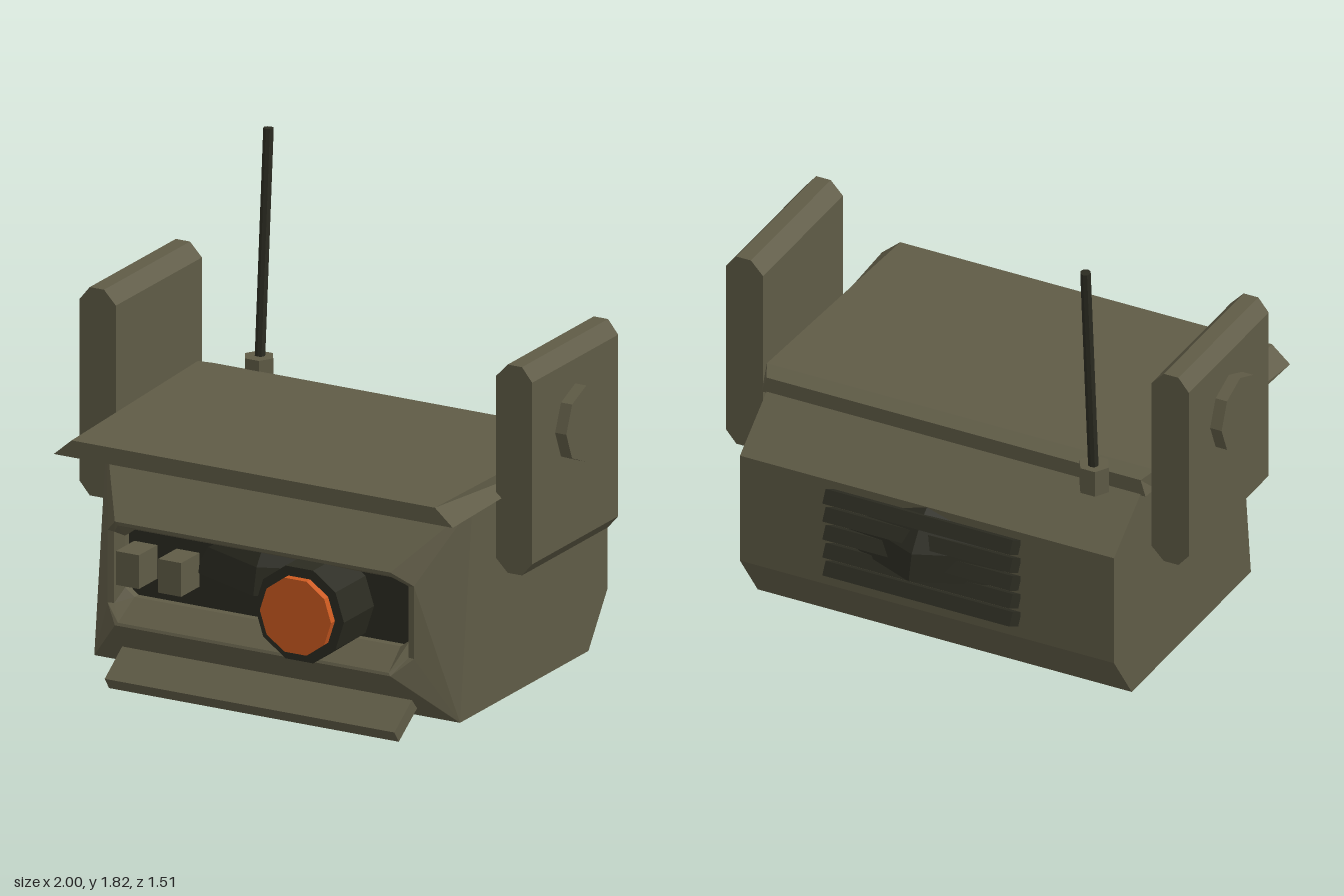
import * as THREE from 'three';

const olive = new THREE.MeshStandardMaterial({ color: 0x5f5b46 });
olive.name = 'olive';
const charcoal = new THREE.MeshStandardMaterial({ color: 0x2b2b21 });
charcoal.name = 'charcoal';
const orange = new THREE.MeshStandardMaterial({ color: 0xcc5a20 });
orange.name = 'orange';

// Faceted normals
function flat(geo) {
  const g = geo.index ? geo.toNonIndexed() : geo;
  g.computeVertexNormals();
  return g;
}

// Skin through closed rings, counter-clockwise seen from +z, ordered back to front
function loft(rings, capBack, capFront) {
  const pos = [];
  const tri = (...pts) => pts.forEach((p) => pos.push(...p));
  for (let i = 0; i < rings.length - 1; i++) {
    const r = rings[i], s = rings[i + 1], n = r.length;
    for (let j = 0; j < n; j++) {
      const k = (j + 1) % n;
      if (r[j] !== r[k]) tri(r[j], r[k], s[k]);
      tri(r[j], s[k], s[j]);
    }
  }
  const cap = (r, flip) => {
    for (let j = 1; j < r.length - 1; j++) {
      if (flip) tri(r[0], r[j + 1], r[j]);
      else tri(r[0], r[j], r[j + 1]);
    }
  };
  if (capBack) cap(rings[0], true);
  if (capFront) cap(rings[rings.length - 1], false);
  const g = new THREE.BufferGeometry();
  g.setAttribute('position', new THREE.Float32BufferAttribute(pos, 3));
  return flat(g);
}

// Extrude an outline and centre it on its depth
function slab(points, depth) {
  const shape = new THREE.Shape(points.map(([x, y]) => new THREE.Vector2(x, y)));
  const g = new THREE.ExtrudeGeometry(shape, { depth, bevelEnabled: false });
  return g.translate(0, 0, -depth / 2);
}

export function createModel() {
  const model = new THREE.Group();
  model.name = 'sensorHead';
  const add = (name, geo, mat, x = 0, y = 0, z = 0, parent = model) => {
    const m = new THREE.Mesh(geo, mat);
    m.name = name;
    m.position.set(x, y, z);
    parent.add(m);
    return m;
  };

  // Main shell, running from the back panel into the front recess
  const box = (x, yb, zb, yt, zt) => {
    const [a, b, c, d] = [[-x, yb, zb], [x, yb, zb], [x, yt, zt], [-x, yt, zt]];
    return [a, b, b, c, c, d, d, a];
  };
  const rim = (x, xc, yb, yt, cut, zLip, zSide) => [
    [-xc, yb, zLip], [xc, yb, zLip], [x, yb + cut, zSide], [x, yt - cut, zSide],
    [xc, yt, zLip], [-xc, yt, zLip], [-x, yt - cut, zSide], [-x, yb + cut, zSide],
  ];
  add('bodyShell', loft([
    box(0.77, 0.25, -0.61, 0.70, -0.61),
    box(0.77, 0.05, -0.47, 0.86, -0.40),
    box(0.77, 0.05, 0.47, 0.86, 0.38),
    rim(0.645, 0.58, 0.25, 0.65, 0.06, 0.65, 0.59),
    rim(0.62, 0.57, 0.26, 0.635, 0.05, 0.645, 0.585),
    rim(0.60, 0.56, 0.33, 0.59, 0.03, 0.54, 0.54),
    rim(0.60, 0.56, 0.33, 0.59, 0.03, 0.49, 0.49),
  ], true, false), olive);
  add('recessFloor', new THREE.BoxGeometry(1.24, 0.30, 0.03), charcoal, 0, 0.46, 0.495);

  // Inner dome, showing in the recess and through the back vent
  const dome = new THREE.SphereGeometry(1, 8, 6, 0, Math.PI * 2, 0, Math.PI / 2);
  dome.scale(0.70, 0.40, 0.70);
  add('innerDome', flat(dome), charcoal, 0, 0.46, -0.055);
  const base = new THREE.CircleGeometry(0.70, 8).rotateX(Math.PI / 2);
  add('innerDomeBase', base, charcoal, 0, 0.46, -0.055);

  // Roof visor, wider at its lower front edge
  const plate = (xb, xt, yb, yt, z) => [[-xb, yb, z], [xb, yb, z], [xt, yt, z], [-xt, yt, z]];
  add('roofVisor', loft([
    plate(0.79, 0.77, 0.855, 0.92, -0.40),
    plate(0.80, 0.80, 0.86, 0.94, -0.34),
    plate(0.84, 0.765, 0.865, 0.93, 0.645),
  ], true, true), olive);

  // Lower chin flap
  const flap = slab([[-0.672, 0.045], [-0.525, 0.145], [-0.49, 0.10], [-0.64, 0]], 1.22);
  add('chinFlap', flap.rotateY(Math.PI / 2), olive);

  // Lens with ten-sided housing
  const drum = (r, h, sides) => flat(new THREE.CylinderGeometry(r, r, h, sides, 1, false, Math.PI / 2));
  add('lensHousing', drum(0.188, 0.23, 10).rotateX(Math.PI / 2), charcoal, 0.243, 0.455, 0.615);
  add('lens', drum(0.15, 0.03, 10).rotateX(Math.PI / 2), orange, 0.243, 0.455, 0.744);

  // Small square sensors
  for (const x of [-0.53, -0.352]) {
    add('squareSensor', new THREE.BoxGeometry(0.097, 0.13, 0.14), olive, x, 0.47, 0.575);
  }

  // Side ear plates with discs and short axles
  const ear = [[0.85, 0.58], [0.91, 0.58], [0.953, 0.63], [0.953, 1.33],
    [0.91, 1.383], [0.85, 1.383], [0.80, 1.33], [0.80, 0.63]];
  for (const side of [1, -1]) {
    const group = new THREE.Group();
    group.name = side > 0 ? 'leftEar' : 'rightEar';
    add('earPlate', slab(ear.map(([x, y]) => [x * side, y]), 0.63), olive, 0, 0, -0.055, group);
    add('earDisc', drum(0.147, 0.05, 8).rotateZ(Math.PI / 2), olive, side * 0.975, 1.088, -0.055, group);
    add('earAxle', drum(0.028, 0.10, 8).rotateZ(Math.PI / 2), charcoal, side * 0.79, 0.665, -0.055, group);
    model.add(group);
  }

  // Tilted vent slats on the back
  for (let i = 0; i < 5; i++) {
    const slat = add('ventSlat', new THREE.BoxGeometry(0.77, 0.055, 0.08), charcoal, 0, 0.35 + i * 0.077, -0.65);
    slat.rotation.x = 0.5;
  }

  // Antenna
  add('antennaBase', drum(0.06, 0.105, 6), olive, -0.6, 0.912, -0.44);
  const rod = add('antennaRod', drum(0.02, 0.985, 8), charcoal, -0.6, 1.332, -0.474);
  rod.rotation.x = -0.072;

  return model;
}
